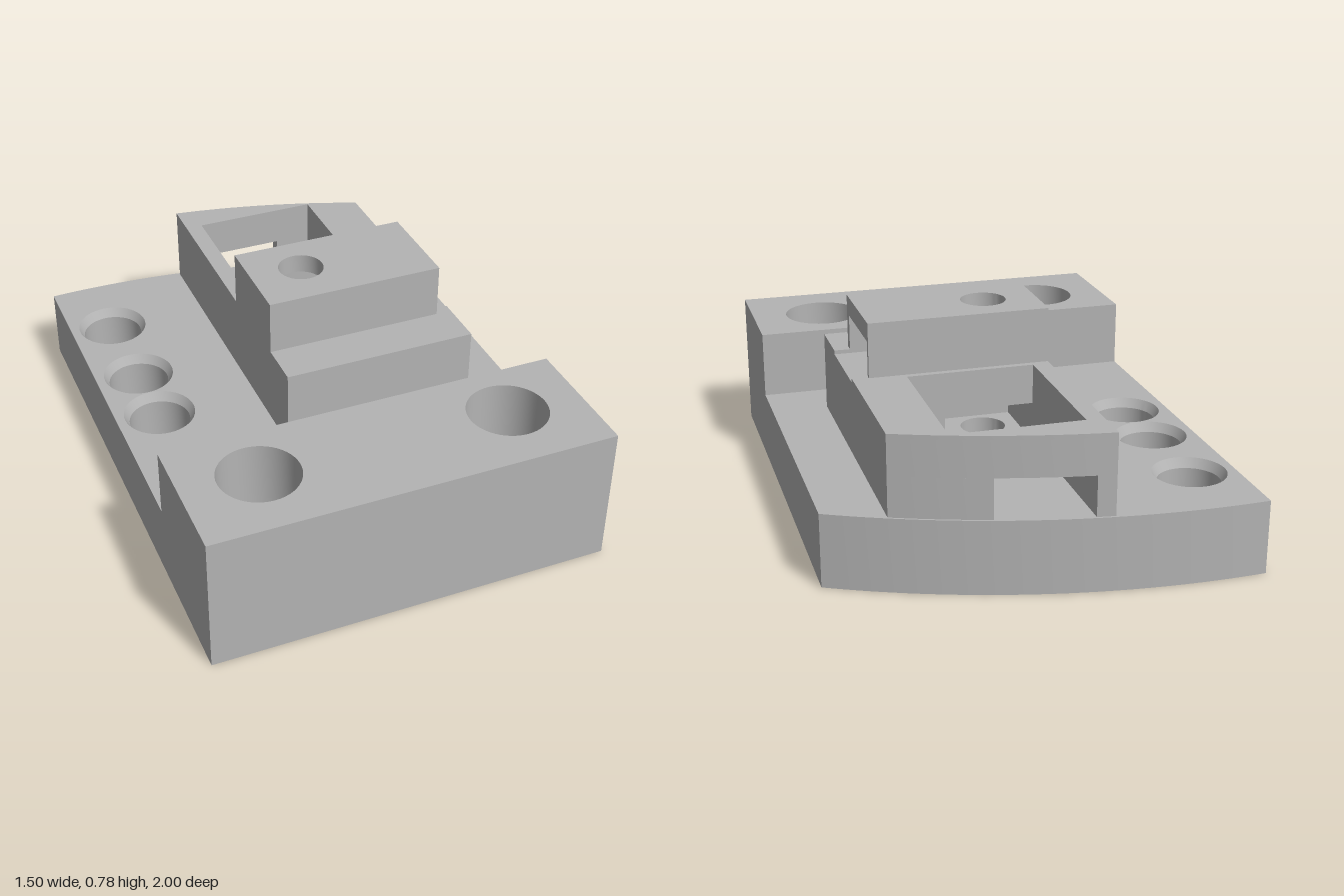
import * as THREE from 'three';
import { toCreasedNormals } from 'three/addons/utils/BufferGeometryUtils.js';

const SEG = 24; // arcs are cut into 2 * SEG sides

// z of the curved back edge at a given x
const R = 2.966;
const backZ = (x, inset = 0) => -1 + inset + R - Math.sqrt(R * R - (x + 0.6) ** 2);

// points along the back edge from x0 to x1
function backEdge(x0, x1, inset, n) {
  return Array.from({ length: n + 1 }, (_, i) => {
    const x = x0 + ((x1 - x0) * i) / n;
    return [x, backZ(x, inset)];
  });
}

const rect = (x0, x1, z0, z1) => [[x0, z1], [x1, z1], [x1, z0], [x0, z0]];

function circle(x, z, r) {
  return new THREE.Path().absarc(x, -z, r, 0, Math.PI * 2, true);
}

const toPoints = (list) => list.map(([x, z]) => new THREE.Vector2(x, -z));

export function createModel() {
  const model = new THREE.Group();
  model.name = 'mountingBracket';
  const grey = new THREE.MeshStandardMaterial({ color: 0xb4b4b4 });
  grey.name = 'plain grey';

  function add(name, geometry) {
    const mesh = new THREE.Mesh(toCreasedNormals(geometry, 0.4), grey);
    mesh.name = name;
    model.add(mesh);
    return mesh;
  }

  // horizontal layer from y0 to y1 with an (x, z) outline and holes
  function slab(name, outline, y0, y1, holes = []) {
    const shape = new THREE.Shape(toPoints(outline));
    shape.holes.push(...holes);
    const g = new THREE.ExtrudeGeometry(shape, { depth: y1 - y0, bevelEnabled: false, curveSegments: SEG });
    g.rotateX(-Math.PI / 2).translate(0, y0, 0);
    return add(name, g);
  }

  // lining of a round hole, profile listed from top to bottom so it faces inward
  function lining(name, x, z, profile) {
    const g = new THREE.LatheGeometry(profile.map(([r, y]) => new THREE.Vector2(r, y)), SEG * 2);
    add(name, g.translate(x, 0, z));
  }

  const baseTop = 0.275, tunnelTop = 0.425, slotBottom = 0.56, stepTop = 0.575;
  const slotTop = 0.708, top = 0.78;
  const screwX = 0, screwZ = -0.06, screwR = 0.085, sinkR = 0.17;
  const sideX = -0.582, sideZ = [-0.69, -0.325, -0.052], sideR = 0.115, rimR = 0.135;

  const frontHoles = () => [-0.468, 0.468].map((x) => circle(x, 0.726, 0.148));
  const screwHole = () => circle(screwX, screwZ, screwR);
  const pocket = () => new THREE.Path(toPoints(rect(-0.135, 0.34, -0.83, -0.255)));

  // base plate with curved back
  slab('basePlate', [[-0.75, 1], [0.75, 1], ...backEdge(0.75, -0.75, 0, 32)], 0, baseTop, [
    ...frontHoles(),
    ...sideZ.map((z) => circle(sideX, z, rimR)),
    circle(screwX, screwZ, sinkR),
  ]);

  // side holes, chamfered at both ends
  for (const z of sideZ) {
    lining('sideHole', sideX, z, [
      [rimR, baseTop], [sideR, baseTop - 0.035], [sideR, 0.035], [rimR, 0],
    ]);
  }

  // screw hole, countersunk from below
  lining('countersunkHole', screwX, screwZ, [
    [sinkR, baseTop], [screwR, baseTop], [screwR, 0.11], [sinkR, 0],
  ]);

  // raised front bar
  slab('frontBar', rect(-0.75, 0.75, 0.5, 1), baseTop, 0.53, frontHoles());

  // housing, lower layer: pocket opens to the back window and inner tunnel
  const inset = 0.008;
  slab('housingLower', [
    [-0.2, 0.31], [0.535, 0.31],
    ...backEdge(0.535, 0.2, inset, 8),
    [0.2, -0.83], [0.34, -0.83], [0.34, -0.255], [0.2, -0.255],
    [0.2, 0.05], [-0.135, 0.05],
    ...backEdge(-0.135, -0.2, inset, 2),
  ], baseTop, tunnelTop);

  // housing, middle layer
  slab('housingMiddle', [[-0.2, 0.31], [0.535, 0.31], ...backEdge(0.535, -0.2, inset, 16)],
    tunnelTop, slotBottom, [pocket(), screwHole()]);

  // side slot notch: open towards +x
  const slotNotch = (x) => [[x, 0.104], [-0.16, 0.104], [-0.16, -0.214], [x, -0.214]];

  // housing, top layer, grooved by the slot
  slab('housingTop', [
    [-0.2, 0.31], [0.535, 0.31], ...slotNotch(0.535),
    ...backEdge(0.535, -0.2, inset, 16),
  ], slotBottom, stepTop, [pocket()]);

  // screw tower: slotted lower part and cap
  const z0 = -0.232, z1 = 0.139;
  slab('towerSlot', [[-0.2, z1], [0.475, z1], ...slotNotch(0.475), [0.475, z0], [-0.2, z0]],
    stepTop, slotTop);
  slab('towerCap', rect(-0.2, 0.475, z0, z1), slotTop, top, [screwHole()]);

  return model;
}
